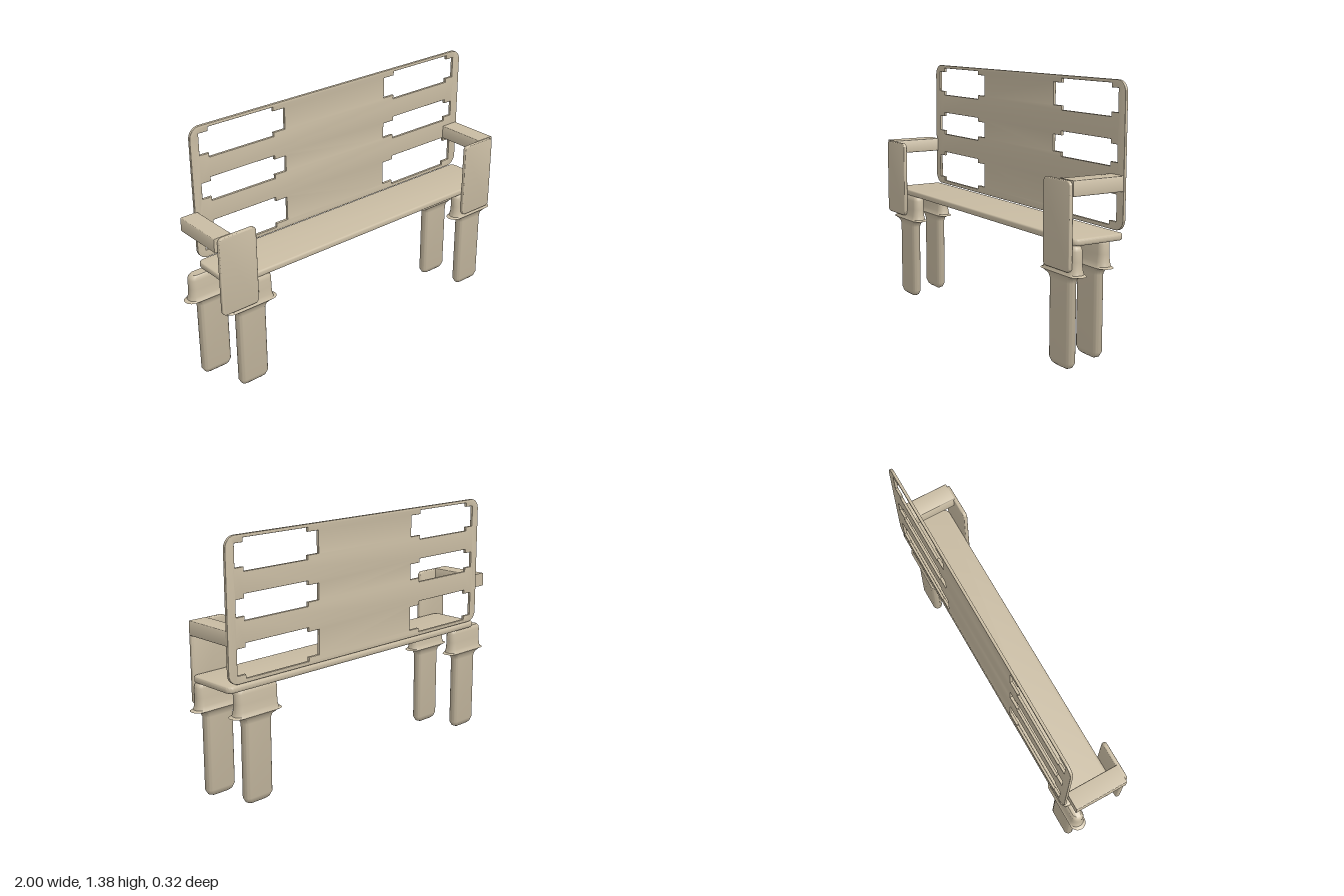
import * as THREE from 'three';
import { toCreasedNormals } from 'three/addons/utils/BufferGeometryUtils.js';

const beige = new THREE.MeshStandardMaterial({ color: 0xc9bca3 });
beige.name = 'warm beige';

function part(name, geometry, crease = 0.6) {
  const mesh = new THREE.Mesh(toCreasedNormals(geometry, crease), beige);
  mesh.name = name;
  return mesh;
}

function roundedRect(x0, y0, x1, y1, r) {
  const s = new THREE.Shape();
  s.absarc(x1 - r, y0 + r, r, -Math.PI / 2, 0);
  s.absarc(x1 - r, y1 - r, r, 0, Math.PI / 2);
  s.absarc(x0 + r, y1 - r, r, Math.PI / 2, Math.PI);
  s.absarc(x0 + r, y0 + r, r, Math.PI, Math.PI * 1.5);
  s.closePath();
  return s;
}

// Plate of the given depth, starting at z = 0, with bevelled edges inside its outline
function plate(shape, depth, bevel) {
  const g = new THREE.ExtrudeGeometry(shape, {
    depth: depth - 2 * bevel, bevelEnabled: bevel > 0, bevelThickness: bevel,
    bevelSize: bevel, bevelOffset: -bevel, bevelSegments: 3, curveSegments: 6,
  });
  return g.translate(0, 0, bevel);
}

// Slot with a narrower tab at each end; xs = four steps from left to right
function slot(xs, low, high) {
  const [a, b, c, d] = xs, t = 0.022;
  return new THREE.Path([
    [a, low + t], [b, low + t], [b, low], [c, low], [c, low + t], [d, low + t],
    [d, high - t], [c, high - t], [c, high], [b, high], [b, high - t], [a, high - t],
  ].map(([x, y]) => new THREE.Vector2(x, y)));
}

// Leg lofted through stadium sections: height, half width, half depth
const LEG = [
  [0, 0.05, 0.008], [0.01, 0.074, 0.018], [0.035, 0.089, 0.027], [0.43, 0.089, 0.027],
  [0.452, 0.1, 0.031], [0.468, 0.135, 0.041], [0.471, 0.159, 0.044], [0.478, 0.14, 0.041],
  [0.5, 0.133, 0.037], [0.54, 0.131, 0.033], [0.59, 0.131, 0.033], [0.607, 0.126, 0.03],
  [0.618, 0.112, 0.024],
];

function legGeometry() {
  const n = 24, pos = [], idx = [];
  for (const [y, w, d] of LEG) {
    for (let i = 0; i < n; i++) {
      const a = ((i + 0.5) / n) * Math.PI * 2;
      pos.push(Math.sign(Math.cos(a)) * (w - d) + Math.cos(a) * d, y, Math.sin(a) * d);
    }
  }
  for (let k = 0; k < LEG.length - 1; k++) {
    for (let i = 0; i < n; i++) {
      const a = k * n + i, b = k * n + ((i + 1) % n);
      idx.push(a, a + n, b, b, a + n, b + n);
    }
  }
  // End caps
  const top = (LEG.length - 1) * n;
  for (let i = 1; i < n - 1; i++) {
    idx.push(0, i, i + 1);
    idx.push(top, top + i + 1, top + i);
  }
  const g = new THREE.BufferGeometry();
  g.setAttribute('position', new THREE.Float32BufferAttribute(pos, 3));
  g.setIndex(idx);
  return g;
}

export function createModel() {
  const model = new THREE.Group();
  model.name = 'bench';

  // Backrest with three slots on either side of a solid middle
  const back = roundedRect(-0.88, 0.66, 0.968, 1.382, 0.06);
  for (const [low, high] of [[1.205, 1.365], [0.967, 1.097], [0.68, 0.857]]) {
    back.holes.push(slot([-0.83, -0.775, -0.38, -0.308], low, high));
    back.holes.push(slot([0.38, 0.452, 0.861, 0.914], low, high));
  }
  const backrest = part('backrest', plate(back, 0.015, 0.002));
  backrest.position.z = -0.158;
  model.add(backrest);

  // Seat board
  const seatGeo = plate(roundedRect(-0.88, -0.14, 0.968, 0.158, 0.035), 0.034, 0.01);
  seatGeo.rotateX(-Math.PI / 2);
  const seat = part('seat', seatGeo);
  seat.position.y = 0.62;
  model.add(seat);

  // Armrests with their front panels
  const sides = [
    { side: 'right', arm: [-0.965, -0.864], panel: [-0.947, -0.727] },
    { side: 'left', arm: [0.858, 0.965], panel: [0.738, 0.957] },
  ];
  for (const { side, arm, panel } of sides) {
    const rest = part(side + 'Armrest',
      plate(roundedRect(arm[0], 0.855, arm[1], 0.931, 0.006), 0.293, 0));
    rest.position.z = -0.146;
    const front = part(side + 'ArmPanel',
      plate(roundedRect(panel[0], 0.495, panel[1], 0.928, 0.025), 0.022, 0.006));
    front.position.z = 0.14;
    model.add(rest, front);
  }

  // Four flat rounded legs with flared collars
  const legs = [
    ['frontRightLeg', -0.752, 0.11], ['backRightLeg', -0.841, -0.105],
    ['frontLeftLeg', 0.838, 0.11], ['backLeftLeg', 0.766, -0.105],
  ];
  for (const [name, x, z] of legs) {
    const leg = part(name, legGeometry(), 0.7);
    leg.position.set(x, 0.003, z);
    model.add(leg);
  }
  return model;
}
